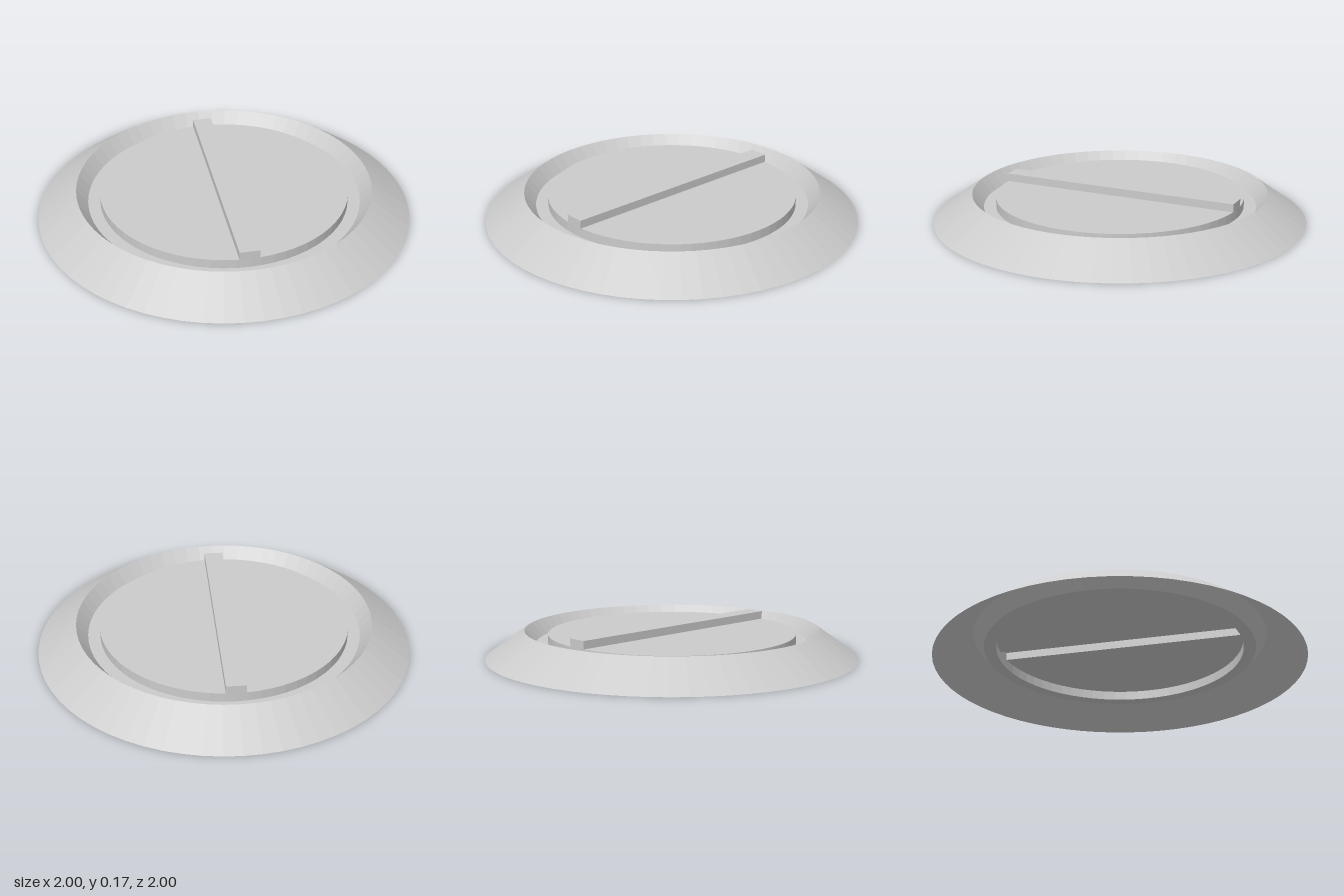
import * as THREE from 'three';

const SEG = 64;
const BASE_R = 1, RIM_R = 0.79, FLOOR_R = 0.73, DISC_R = 0.665;
const RIM_Y = 0.15, FLOOR_Y = 0.077, DISC_Y = 0.127, BAR_Y = 0.17, BAR_HALF = 0.052;

export function createModel() {
  const group = new THREE.Group();
  const material = new THREE.MeshStandardMaterial({
    color: 0xcccccc, flatShading: true, side: THREE.DoubleSide,
  });
  const add = (name, geometry) => {
    const mesh = new THREE.Mesh(geometry, material);
    mesh.name = name;
    group.add(mesh);
    return mesh;
  };
  // Thin band of revolution between two (radius, height) points
  const band = (name, r0, y0, r1, y1) => add(name, new THREE.LatheGeometry(
    [new THREE.Vector2(r0, y0), new THREE.Vector2(r1, y1)], SEG));

  // Open-bottomed shell: outer slope, recess and raised centre
  band('outerSlope', BASE_R, 0, RIM_R, RIM_Y);
  band('recessWall', RIM_R, RIM_Y, FLOOR_R, FLOOR_Y);
  band('recessFloor', FLOOR_R, FLOOR_Y, DISC_R, FLOOR_Y);
  band('discWall', DISC_R, FLOOR_Y, DISC_R, DISC_Y);

  // Two disc halves, leaving a slot beneath the hollow bar
  const a = Math.acos(BAR_HALF / DISC_R);
  for (const [name, turn] of [['discLeft', 0], ['discRight', Math.PI]]) {
    const half = new THREE.Shape();
    half.absarc(0, 0, DISC_R, turn - a, turn + a, false);
    const geometry = new THREE.ShapeGeometry(half, SEG / 2);
    geometry.rotateX(-Math.PI / 2);
    add(name, geometry).position.y = DISC_Y;
  }

  // Hollow grip bar: a box without its underside
  const bar = new THREE.BoxGeometry(2 * BAR_HALF, BAR_Y - DISC_Y, 2 * DISC_R);
  const index = Array.from(bar.index.array);
  index.splice(18, 6);
  bar.setIndex(index);
  bar.clearGroups();
  add('gripBar', bar).position.y = (BAR_Y + DISC_Y) / 2;

  return group;
}
